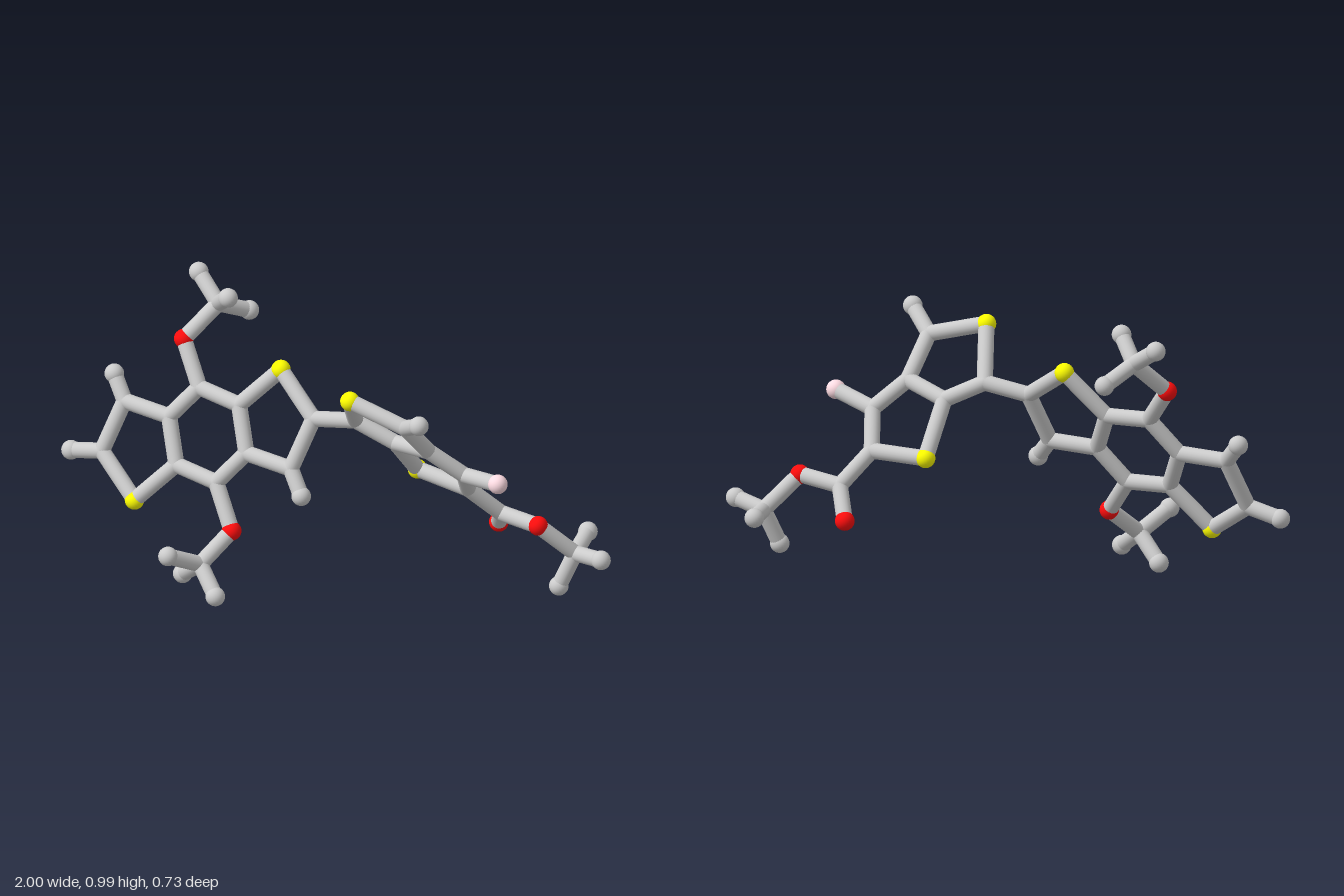
import * as THREE from 'three';

const STICK = 0.028, BALL = 0.034;
const grey = new THREE.MeshStandardMaterial({ color: 0xcccccc });
const yellow = new THREE.MeshStandardMaterial({ color: 0xffff00 });
const red = new THREE.MeshStandardMaterial({ color: 0xff0d0d });
const pink = new THREE.MeshStandardMaterial({ color: 0xffdde4 });

// Each flat ring system lies in its own tilted plane
const leftPlane = (x, y) => 0.254 * x - 0.422 * y + 0.313;
const rightPlane = (x, y) => 0.316 * x + 0.866 * y - 0.589;

function ball(group, name, p, radius, material) {
  const mesh = new THREE.Mesh(new THREE.SphereGeometry(radius, 24, 16), material);
  mesh.name = name;
  mesh.position.copy(p);
  group.add(mesh);
}

function stick(group, a, b) {
  const dir = b.clone().sub(a);
  const mesh = new THREE.Mesh(new THREE.CylinderGeometry(STICK, STICK, dir.length(), 20, 1, true), grey);
  mesh.name = 'bond';
  mesh.position.copy(a).add(b).multiplyScalar(0.5);
  mesh.quaternion.setFromUnitVectors(new THREE.Vector3(0, 1, 0), dir.normalize());
  group.add(mesh);
}

// Atom kinds: [name, radius, material]
const kinds = {
  C: ['carbonJoint', STICK, grey],
  E: ['endAtom', BALL, grey],
  S: ['sulfurAtom', BALL, yellow],
  O: ['oxygenAtom', BALL, red],
  F: ['fluorineAtom', BALL, pink],
};

// atoms: { key: [kind, x, y, z] }, with z taken from the plane when left out;
// chains: space-separated atom keys, joined in order
function fragment(name, atoms, chains, plane, shared = {}) {
  const group = new THREE.Group();
  group.name = name;
  const points = { ...shared };
  for (const [key, [kind, x, y, z = plane(x, y)]] of Object.entries(atoms)) {
    points[key] = new THREE.Vector3(x, y, z);
    const [label, radius, material] = kinds[kind];
    ball(group, label, points[key], radius, material);
  }
  for (const chain of chains) {
    const keys = chain.split(' ');
    for (let i = 1; i < keys.length; i++) stick(group, points[keys[i - 1]], points[keys[i]]);
  }
  return { group, points };
}

export function createModel() {
  const model = new THREE.Group();
  model.name = 'stickMolecule';

  // Left three-ring system: one half, then the same half turned about its centre
  const half = {
    a: ['C', -0.505, 0.631], b: ['C', -0.342, 0.618], c: ['C', -0.289, 0.476],
    s: ['S', -0.199, 0.77], d: ['C', -0.048, 0.652], e: ['C', -0.109, 0.474],
    h: ['E', -0.055, 0.4], o: ['O', -0.59, 0.765],
  };
  const leftAtoms = {};
  for (const [key, [kind, x, y]] of Object.entries(half)) {
    leftAtoms[key] = [kind, x, y];
    leftAtoms[key + '2'] = [kind, -0.895 - x, 0.986 - y];
  }
  leftAtoms.m2 = ['E', -0.967, 0.305];
  const left = fragment('leftRings', leftAtoms, [
    'a b c a2 b2 c2 a', 'b s d e c', 'b2 s2 d2 e2 c2',
    'e h', 'e2 h2', 'a o', 'a2 o2', 'd2 m2',
  ], leftPlane);

  // Branched side groups above and below the left rings
  const upper = fragment('upperSideGroup', {
    c: ['C', -0.493, 0.88, -0.24], p: ['E', -0.588, 0.953, -0.305],
    q: ['E', -0.428, 0.957, -0.16], r: ['E', -0.412, 0.822, -0.33],
  }, ['o c p', 'q c r'], null, { o: left.points.o });
  const lower = fragment('lowerSideGroup', {
    c: ['C', -0.388, 0.12, 0.23], p: ['E', -0.307, 0.046, 0.302],
    q: ['E', -0.474, 0.035, 0.17], r: ['E', -0.471, 0.186, 0.327],
  }, ['o c p', 'q c r'], null, { o: left.points.o2 });

  // Right two-ring system with the link to the left rings
  const right = fragment('rightRings', {
    t: ['C', 0.11, 0.68], s: ['S', 0.144, 0.843], u: ['C', 0.353, 0.786], h: ['E', 0.433, 0.855],
    a: ['C', 0.4, 0.648], b: ['C', 0.25, 0.612], s2: ['S', 0.28, 0.44],
    e: ['C', 0.487, 0.433], f: ['C', 0.513, 0.55], fl: ['F', 0.663, 0.583],
  }, ['link t s u a b t', 'u h', 'b s2 e f a', 'f fl'], rightPlane, { link: left.points.d });

  // Right tail with two oxygens and a branched end
  const tail = fragment('rightTail', {
    c: ['C', 0.583, 0.32], o: ['O', 0.54, 0.225], o2: ['O', 0.74, 0.33],
    d: ['C', 0.853, 0.212, -0.13], p: ['E', 0.966, 0.232, -0.08],
    q: ['E', 0.803, 0.087, -0.104], r: ['E', 0.85, 0.224, -0.268],
  }, ['e c o', 'c o2 d p', 'q d r'], rightPlane, { e: right.points.e });

  for (const part of [left, upper, lower, right, tail]) model.add(part.group);
  return model;
}
